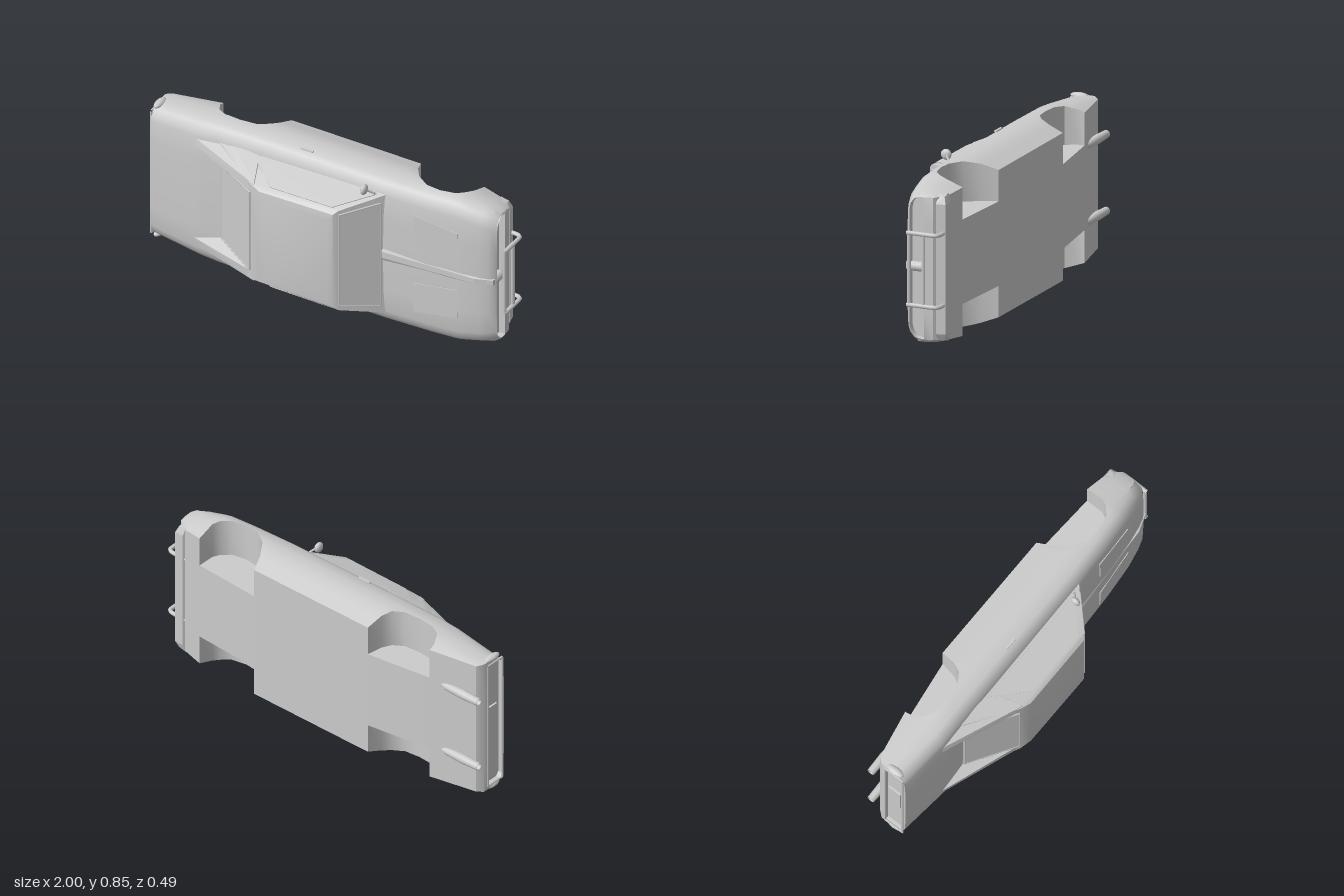
import * as THREE from 'three';
import { toCreasedNormals } from 'three/addons/utils/BufferGeometryUtils.js';
import { ConvexGeometry } from 'three/addons/geometries/ConvexGeometry.js';

const V = (x, y, z) => new THREE.Vector3(x, y, z);
const material = new THREE.MeshStandardMaterial({ color: 0xcccccc });
const doubleSided = new THREE.MeshStandardMaterial({ color: 0xcccccc, side: THREE.DoubleSide });

// The car lies on its side: nose to +x, roof to +z, width along y.
// Lengthwise profiles as [x, value]
const TOP = [[-0.985, 0.035], [-0.7, 0.06], [0.35, 0.055], [0.6, 0.045], [0.78, 0.03], [0.87, 0.015], [0.92, 0], [0.945, -0.018]];
const FLOOR = [[-0.985, -0.115], [-0.96, -0.145], [-0.7, -0.195], [-0.345, -0.245], [0.39, -0.245], [0.76, -0.225], [0.87, -0.205], [0.92, -0.175], [0.945, -0.15]];
const WIDTH = [[-0.985, 0.385], [-0.6, 0.418], [-0.3, 0.422], [0.74, 0.42], [0.87, 0.396], [0.92, 0.383], [0.945, 0.37]];
const ARCH = [[-0.701, -0.3], [-0.7, -0.16], [-0.67, -0.1], [-0.62, -0.074], [-0.53, -0.067], [-0.44, -0.075], [-0.385, -0.11], [-0.36, -0.16], [-0.345, -0.245], [-0.344, -0.3],
  [0.389, -0.3], [0.39, -0.245], [0.42, -0.165], [0.47, -0.09], [0.54, -0.045], [0.62, -0.038], [0.7, -0.055], [0.74, -0.09], [0.76, -0.13], [0.761, -0.3]];

function at(table, x) {
  if (x <= table[0][0]) return table[0][1];
  for (let i = 1; i < table.length; i++) {
    const [x0, a] = table[i - 1], [x1, b] = table[i];
    if (x <= x1) return a + (b - a) * (x - x0) / (x1 - x0);
  }
  return table[table.length - 1][1];
}

// Skin closed rings and cap both ends
function loft(rings, crease = 0.6) {
  const pos = [];
  const tri = (a, b, c) => {
    const area = b.clone().sub(a).cross(c.clone().sub(a)).length();
    if (area > 1e-9) for (const p of [a, b, c]) pos.push(p.x, p.y, p.z);
  };
  const n = rings[0].length;
  for (let i = 0; i + 1 < rings.length; i++)
    for (let j = 0; j < n; j++) {
      const k = (j + 1) % n, r = rings[i], s = rings[i + 1];
      tri(r[j], s[j], r[k]);
      tri(r[k], s[j], s[k]);
    }
  for (const [ring, last] of [[rings[0], false], [rings[rings.length - 1], true]]) {
    const c = ring.reduce((sum, p) => sum.add(p), V(0, 0, 0)).divideScalar(n);
    ring.forEach((p, j) => {
      const q = ring[(j + 1) % n];
      last ? tri(c, q, p) : tri(c, p, q);
    });
  }
  const geo = new THREE.BufferGeometry();
  geo.setAttribute('position', new THREE.Float32BufferAttribute(pos, 3));
  geo.computeVertexNormals();
  return toCreasedNormals(geo, crease);
}

// Body section; inside a wheel arch the lower side steps in to an inner wall
function section(x) {
  const top = at(TOP, x), floor = at(FLOOR, x), w = at(WIDTH, x);
  const arch = Math.max(floor, at(ARCH, x));
  const half = [[0, top], [0.5 * w, top - 0.001], [0.8 * w, top - 0.006], [0.88 * w, top - 0.015], [0.95 * w, top - 0.036], [0.985 * w, top - 0.058]];
  for (const z of [-0.06, -0.09, -0.13, -0.18, floor]) {
    const zz = Math.min(Math.max(z, arch), top - 0.06);
    half.push([w * (1 - 0.11 * Math.max(0, (-0.12 - zz) / 0.125)), zz]);
  }
  half.push([0.215, arch], [0.215, floor], [0, floor]);
  const left = half.map(([y, z]) => V(x, y, z));
  const right = half.slice(1, -1).reverse().map(([y, z]) => V(x, -y, z));
  return [...left, ...right];
}

// Recess: squeeze an end ring onto a rectangle, then push it inwards
function squeeze(ring, x, halfY, z0, z1) {
  return ring.map(p => V(x, THREE.MathUtils.clamp(p.y, -halfY, halfY), THREE.MathUtils.clamp(p.z, z0, z1)));
}

// Thin slab on four corners
function slab(corners, thickness) {
  const normal = corners[1].clone().sub(corners[0]).cross(corners[3].clone().sub(corners[0])).normalize().multiplyScalar(thickness / 2);
  return new ConvexGeometry(corners.flatMap(p => [p.clone().add(normal), p.clone().sub(normal)]));
}

export function createModel() {
  const group = new THREE.Group();
  const car = new THREE.Group();
  car.name = 'car';
  car.position.y = 0.425;
  group.add(car);

  const add = (name, geo, mat = material) => {
    const mesh = new THREE.Mesh(geo, mat);
    mesh.name = name;
    car.add(mesh);
    return mesh;
  };
  const box = (name, sx, sy, sz, x, y, z) => add(name, new THREE.BoxGeometry(sx, sy, sz).translate(x, y, z));
  const tube = (name, points, r) => add(name, new THREE.TubeGeometry(new THREE.CatmullRomCurve3(points, false, 'catmullrom', 0.2), 16, r, 8));
  const bar = (name, a, b, r) => add(name, new THREE.TubeGeometry(new THREE.LineCurve3(a, b), 1, r, 6));
  const rim = (name, c, r) => c.forEach((p, i) => bar(name, p, c[(i + 1) % c.length], r));

  // Body with wheel arches, grille opening and tail recess
  const xs = [...new Set([TOP, FLOOR, WIDTH, ARCH].flatMap(t => t.map(p => p[0])))].sort((a, b) => a - b);
  const rings = xs.map(section);
  const tail = rings[0], nose = rings[rings.length - 1];
  add('body', loft([
    squeeze(tail, -0.965, 0.36, -0.09, 0.015), squeeze(tail, -0.99, 0.36, -0.09, 0.015),
    ...rings,
    squeeze(nose, 0.95, 0.36, -0.105, -0.027), squeeze(nose, 0.915, 0.36, -0.105, -0.027),
  ]));

  // Cabin, from belt line to roof: [z, front x, front half width, rear x, rear half width]
  const cabin = [[0.02, 0.39, 0.36, -0.62, 0.35], [0.06, 0.345, 0.345, -0.565, 0.335], [0.213, 0.19, 0.295, -0.31, 0.282], [0.232, 0.168, 0.275, -0.25, 0.268], [0.24, 0.145, 0.24, -0.19, 0.235]];
  add('cabin', loft(cabin.map(([z, f, fw, r, rw]) => [V(f, fw, z), V(f, -fw, z), V(r, -rw, z), V(r, -rw, z), V(r, rw, z)]), 0.5));

  // Windscreen and rear window with rims
  const screen = [V(0.342, 0.305, 0.065), V(0.342, -0.305, 0.065), V(0.192, -0.27, 0.213), V(0.192, 0.27, 0.213)];
  add('windscreen', slab(screen, 0.004));
  rim('windscreenRim', screen, 0.005);
  const back = [V(-0.56, 0.215, 0.065), V(-0.56, -0.215, 0.065), V(-0.315, -0.23, 0.213), V(-0.315, 0.23, 0.213)];
  add('rearWindow', slab(back, 0.004));
  rim('rearWindowRim', back, 0.005);

  for (const s of [1, -1]) {
    // Sail panels sloping down beside the rear window
    add('sailPanel', new ConvexGeometry([
      V(-0.29, s * 0.235, 0.218), V(-0.29, s * 0.287, 0.214), V(-0.72, s * 0.275, 0.056), V(-0.72, s * 0.315, 0.05),
      V(-0.56, s * 0.215, 0.055), V(-0.35, s * 0.345, 0.058), V(-0.3, s * 0.23, 0.055), V(-0.5, s * 0.345, 0.045)]));
    // Side window
    add('sideWindow', slab([V(-0.38, s * 0.343, 0.064), V(0.31, s * 0.345, 0.064), V(0.15, s * 0.298, 0.206), V(-0.2, s * 0.294, 0.206)], 0.004));
    // Pop-up headlight cover
    add('headlightCover', slab([V(0.52, s * 0.115, 0.049), V(0.52, s * 0.285, 0.047), V(0.76, s * 0.25, 0.031), V(0.76, s * 0.085, 0.032)], 0.006));
    // Door handle
    box('doorHandle', 0.07, 0.006, 0.014, -0.115, s * 0.422, -0.005);
    // Small corner lamp on the tail
    add('tailCorner', new THREE.SphereGeometry(1, 12, 8).scale(0.022, 0.016, 0.05).translate(-0.972, s * 0.382, -0.04));
    // Exhaust pipe with an open end
    const pipe = [[0.006, 0], [0.02, 0.04], [0.024, 0.15], [0.02, 0.25], [0.016, 0.25], [0.016, 0.2], [0, 0.2]].map(p => new THREE.Vector2(...p));
    add('exhaustPipe', new THREE.LatheGeometry(pipe, 16).rotateZ(Math.PI / 2).translate(-0.75, s * 0.195, -0.172), doubleSided);
    // Bumper guard upright
    tube('guardUpright', [V(0.87, s * 0.183, -0.2), V(0.965, s * 0.183, -0.197), V(0.988, s * 0.183, -0.18), V(0.988, s * 0.183, -0.03)], 0.011);
  }

  // Guard cross bars
  for (const z of [-0.04, -0.118]) bar('guardBar', V(0.985, -0.183, z), V(0.985, 0.183, z), 0.01);

  // Front bumper with tapered ends
  add('frontBumper', new ConvexGeometry([1, -1].flatMap(s => [
    V(0.87, s * 0.375, -0.2), V(0.9, s * 0.375, -0.165), V(0.92, s * 0.365, -0.165), V(0.915, s * 0.365, -0.2),
    V(0.88, s * 0.33, -0.215), V(0.94, s * 0.33, -0.165), V(0.93, s * 0.33, -0.212)])));

  // Hood ridge and the pillar dividing the grille
  add('hoodRidge', new ConvexGeometry([1, -1].flatMap(s => [
    V(0.34, s * 0.04, 0.053), V(0.34, s * 0.018, 0.063), V(0.85, s * 0.022, 0.01), V(0.85, s * 0.014, 0.03),
    V(0.948, s * 0.02, -0.03), V(0.94, s * 0.014, -0.002)])));
  add('grillePillar', new THREE.CapsuleGeometry(0.025, 0.05, 4, 12).rotateX(Math.PI / 2).translate(0.928, 0, -0.06));

  // Tail rim and plate
  rim('tailRim', [V(-0.988, 0.362, 0.017), V(-0.988, 0.362, -0.092), V(-0.988, -0.362, -0.092), V(-0.988, -0.362, 0.017)], 0.006);
  box('plate', 0.015, 0.18, 0.075, -0.968, 0, -0.045);

  // Door mirror on the left side
  bar('mirrorStalk', V(0.31, 0.345, 0.055), V(0.275, 0.38, 0.092), 0.006);
  add('doorMirror', new THREE.SphereGeometry(0.028, 10, 8).scale(0.6, 1, 1).translate(0.268, 0.382, 0.097));

  return group;
}
